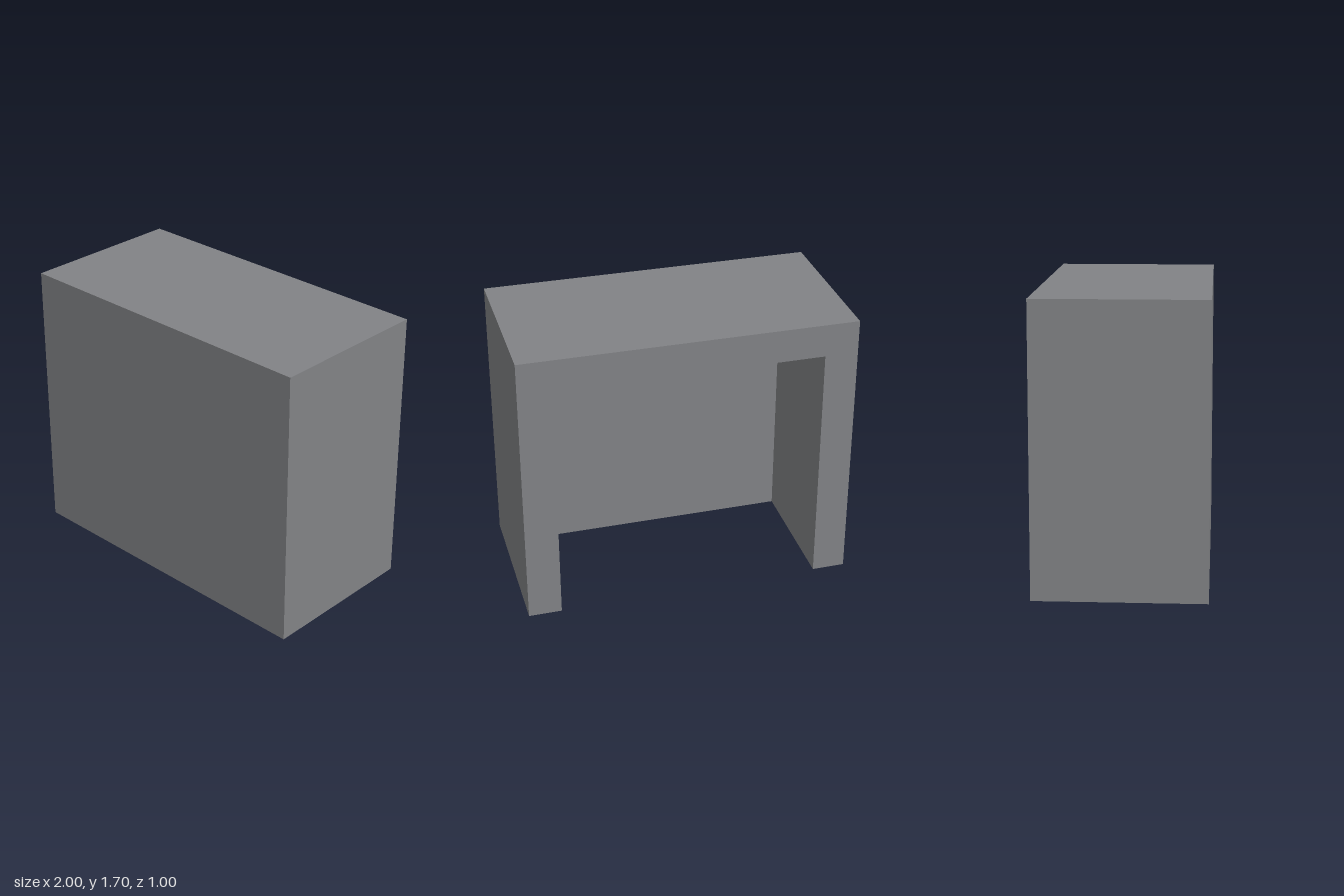
import * as THREE from 'three';

const WIDTH = 2, HEIGHT = 1.7, DEPTH = 1, WALL = 0.2;

export function createModel() {
  const model = new THREE.Group();
  model.name = 'desk';
  const grey = new THREE.MeshStandardMaterial({ color: 0x828386 });
  grey.name = 'grey';

  const add = (name, w, h, d, x, y, z) => {
    const mesh = new THREE.Mesh(new THREE.BoxGeometry(w, h, d), grey);
    mesh.name = name;
    mesh.position.set(x, y, z);
    model.add(mesh);
  };

  // Front panel, full width and height
  add('frontPanel', WIDTH, HEIGHT, WALL, 0, HEIGHT / 2, (DEPTH - WALL) / 2);

  // Arch behind it: two sides and a top around the open back and underside
  const w = WIDTH / 2, inner = w - WALL, under = HEIGHT - WALL;
  const profile = new THREE.Shape([
    [-w, 0], [-inner, 0], [-inner, under], [inner, under],
    [inner, 0], [w, 0], [w, HEIGHT], [-w, HEIGHT],
  ].map(([x, y]) => new THREE.Vector2(x, y)));
  const arch = new THREE.Mesh(
    new THREE.ExtrudeGeometry(profile, { depth: DEPTH - WALL, bevelEnabled: false }),
    grey,
  );
  arch.name = 'topAndSides';
  arch.position.z = -DEPTH / 2;
  model.add(arch);

  return model;
}
